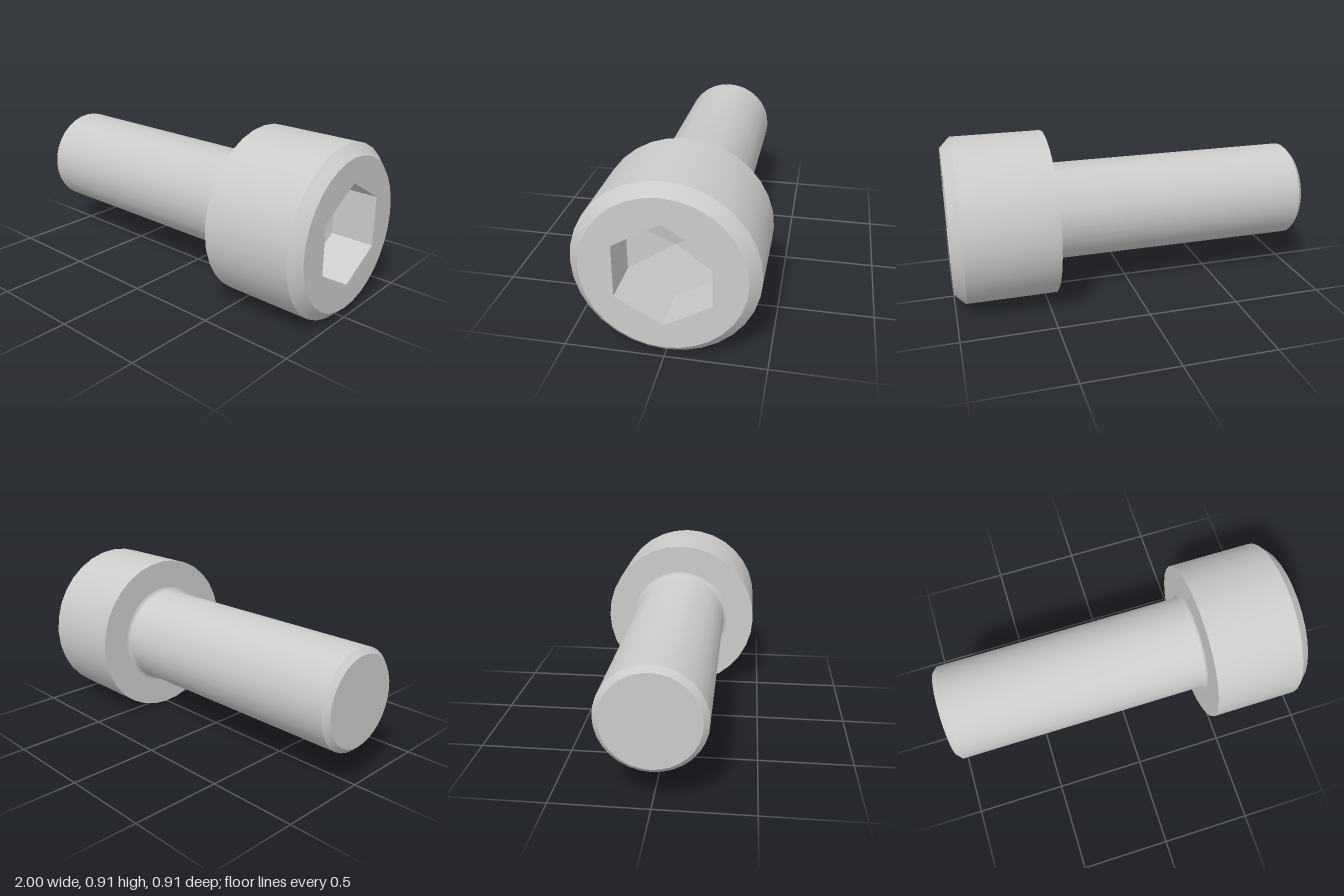
import * as THREE from 'three';
import { toCreasedNormals } from 'three/addons/utils/BufferGeometryUtils.js';

const SIDES = 32;
const HEAD_R = 0.455, RIM_R = 0.4, SHANK_R = 0.27, HEX_R = 0.27;
const SEAT = 0.455, TOP = 1, FILLET = 0.025;

const material = new THREE.MeshStandardMaterial({ color: 0xcccccc });

// Points [radius, height along the screw axis] turned around that axis
function turned(points, sides, crease, start = 0) {
  const profile = points.map(([r, h]) => new THREE.Vector2(r, h));
  return toCreasedNormals(new THREE.LatheGeometry(profile, sides, start), crease);
}

// Corners of a regular polygon
function polygon(radius, sides) {
  return Array.from({ length: sides }, (_, i) => {
    const a = (i / sides) * Math.PI * 2;
    return new THREE.Vector2(radius * Math.cos(a), radius * Math.sin(a));
  });
}

export function createModel() {
  const screw = new THREE.Group();
  screw.name = 'socketHeadScrew';

  function add(name, geometry) {
    const mesh = new THREE.Mesh(geometry, material);
    mesh.name = name;
    screw.add(mesh);
  }

  // Shank with a chamfered tip and a small fillet under the head
  const shank = [[0, -1], [SHANK_R - 0.028, -1], [SHANK_R, -0.972]];
  for (let i = 0; i <= 4; i++) {
    const a = (i / 4) * Math.PI / 2;
    shank.push([SHANK_R + FILLET * (1 - Math.cos(a)), SEAT - FILLET * (1 - Math.sin(a))]);
  }
  add('shank', turned(shank, SIDES, 0.6));

  // Head: underside, cylindrical wall and top chamfer
  add('head', turned([
    [SHANK_R + FILLET, SEAT], [HEAD_R, SEAT], [HEAD_R, TOP - 0.055], [RIM_R, TOP],
  ], SIDES, 0.6));

  // Flat end face with the hexagonal opening
  const face = new THREE.Shape(polygon(RIM_R, SIDES));
  face.holes.push(new THREE.Path(polygon(HEX_R, 6)));
  add('headFace', new THREE.ShapeGeometry(face).rotateX(-Math.PI / 2).translate(0, TOP, 0));

  // Hexagonal socket with a shallow pointed floor
  add('hexSocket', turned([
    [HEX_R, TOP], [HEX_R, 0.76], [0, 0.71],
  ], 6, 0.05, Math.PI / 2));

  // Lay the screw along x, resting on the ground
  screw.rotation.z = -Math.PI / 2;
  screw.position.y = HEAD_R;

  const model = new THREE.Group();
  model.name = 'screw';
  model.add(screw);
  return model;
}
